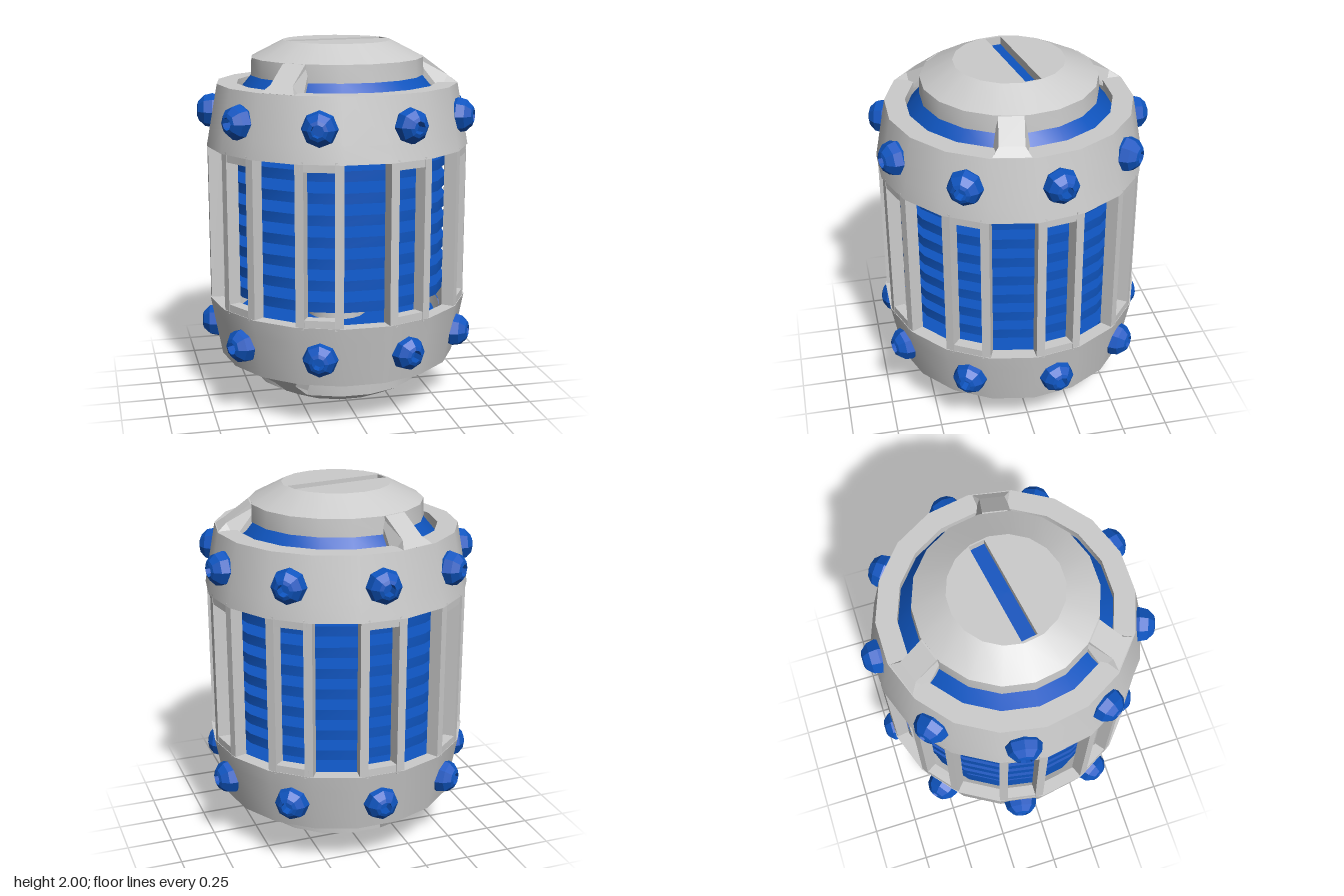
import * as THREE from 'three';
import { toCreasedNormals } from 'three/addons/utils/BufferGeometryUtils.js';

const SIDES = 18, MID = 1.0125, RAD = Math.PI / 180;
const grey = new THREE.MeshStandardMaterial({ color: 0xcccccc, side: THREE.DoubleSide });
const blue = new THREE.MeshStandardMaterial({ color: 0x0f55c0, side: THREE.DoubleSide });
const blueFlat = new THREE.MeshStandardMaterial({ color: 0x0f55c0, flatShading: true, side: THREE.DoubleSide });

function add(parent, name, geometry, material) {
  const mesh = new THREE.Mesh(geometry, material);
  mesh.name = name;
  parent.add(mesh);
  return mesh;
}

// Revolved profile of [radius, height] points, with hard edges kept
function turned(points, sides = SIDES) {
  const profile = points.map(([r, y]) => new THREE.Vector2(r, y));
  return toCreasedNormals(new THREE.LatheGeometry(profile, sides, Math.PI / sides, Math.PI * 2), 0.42);
}

// Sloping bridge from the lid to the shell, flared where it meets the shell
function bridgeGeometry() {
  const shape = new THREE.Shape([
    [0.42, 0.8], [0.42, 0.897], [0.47, 0.897], [0.6, 0.8], [0.645, 0.763], [0.56, 0.72],
  ].map(([x, y]) => new THREE.Vector2(x, y)));
  const geo = new THREE.ExtrudeGeometry(shape, { depth: 0.13, bevelEnabled: false });
  geo.translate(0, 0, -0.065);
  const p = geo.attributes.position;
  for (let i = 0; i < p.count; i++) if (p.getY(i) < 0.78) p.setZ(i, p.getZ(i) * 1.5);
  geo.computeVertexNormals();
  return geo;
}

// One end of the casing, pointing up, measured from mid height
function casingEnd(name, sign) {
  const end = new THREE.Group();
  end.name = name;
  add(end, 'shellBand', turned([
    [0.65, 0.4275], [0.722, 0.4275], [0.705, 0.52], [0.66, 0.7625], [0.55, 0.7625],
    [0.55, 0.71], [0.63, 0.66], [0.65, 0.4275],
  ]), grey);
  add(end, 'innerCone', turned([[0, 0.56], [0.57, 0.56], [0.57, 0.68], [0.46, 0.81], [0, 0.81]]), blue);
  add(end, 'lidWall', turned([[0, 0.803], [0.475, 0.803], [0.47, 0.8975], [0.44, 0.8975]]), grey);
  const geo = bridgeGeometry();
  for (let i = 0; i < 3; i++) {
    add(end, 'bridge', geo, grey).rotation.y = -sign * (10.5 + 120 * i) * RAD;
  }
  end.position.y = MID;
  if (sign < 0) end.rotation.x = Math.PI;
  return end;
}

export function createModel() {
  const model = new THREE.Group();
  model.name = 'ventedCanister';
  model.add(casingEnd('upperCasing', 1), casingEnd('lowerCasing', -1));

  // Domed top lid with a slot over a blue floor
  add(model, 'topDome', turned([[0.47, 1.91], [0.295, 2]]), grey);
  const cap = new THREE.Shape();
  for (let i = 0; i < SIDES; i++) {
    const a = (i + 0.5) * 20 * RAD;
    cap[i ? 'lineTo' : 'moveTo'](0.295 * Math.sin(a), 0.295 * Math.cos(a));
  }
  const c = Math.cos(10 * RAD), s = Math.sin(10 * RAD);
  cap.holes.push(new THREE.Path([[-0.28, -0.043], [-0.28, 0.043], [0.28, 0.043], [0.28, -0.043]]
    .map(([x, y]) => new THREE.Vector2(x * c - y * s, x * s + y * c + 0.018))));
  const capGeo = new THREE.ExtrudeGeometry(cap, { depth: 0.05, bevelEnabled: false });
  capGeo.rotateX(-Math.PI / 2);
  add(model, 'slottedCap', capGeo, grey).position.y = 1.95;
  add(model, 'slotFloor', new THREE.CylinderGeometry(0.29, 0.29, 0.02, SIDES), blue).position.y = 1.945;

  // Bottom rim, recessed plate and grip bar with sloping ends
  add(model, 'bottomRim', turned([[0.47, 0.115], [0.35, 0.05], [0.29, 0.05], [0.29, 0.11]]), grey);
  add(model, 'recessedPlate', new THREE.CylinderGeometry(0.29, 0.29, 0.02, SIDES), blue).position.y = 0.105;
  const barShape = new THREE.Shape([[-0.33, 0.05], [-0.26, 0], [0.26, 0], [0.33, 0.05], [0.28, 0.1], [-0.28, 0.1]]
    .map(([x, y]) => new THREE.Vector2(x, y)));
  const barGeo = new THREE.ExtrudeGeometry(barShape, { depth: 0.1, bevelEnabled: false });
  barGeo.translate(0, 0, -0.05);
  add(model, 'gripBar', barGeo, grey).rotation.y = 20 * RAD;

  // Core with its stack of blue discs
  add(model, 'coreColumn', new THREE.CylinderGeometry(0.165, 0.165, 1.2, SIDES), grey).position.y = MID;
  const disc = toCreasedNormals(new THREE.CylinderGeometry(0.61, 0.61, 0.056, SIDES), 0.42);
  disc.rotateY(10 * RAD);
  for (let i = -3; i <= 3; i++) add(model, 'coolingDisc', disc, blue).position.y = MID + i * 0.116;

  // Cage bars, narrow window frames and studs repeat nine times
  const bar = new THREE.BoxGeometry(0.046, 0.88, 0.07);
  const frame = new THREE.BoxGeometry(0.2, 0.045, 0.06);
  // Faceted stud with a socket, axis turned to face outward
  const stud = new THREE.LatheGeometry([
    [0.075, -0.055], [0.095, 0], [0.085, 0.045], [0.053, 0.078], [0.034, 0.085], [0.034, 0.03], [0, 0.03],
  ].map(([r, y]) => new THREE.Vector2(r, y)), 8);
  stud.rotateX(Math.PI / 2);

  for (let i = 0; i < 9; i++) {
    const sector = new THREE.Group();
    sector.name = 'cageSector';
    sector.rotation.y = (20 + 40 * i) * RAD;
    for (const side of [-1, 1]) {
      const a = side * 8.3 * RAD;
      const post = add(sector, 'cageBar', bar, grey);
      post.position.set(0.68 * Math.sin(a), MID, 0.68 * Math.cos(a));
      post.rotation.y = a;
      add(sector, 'windowFrame', frame, grey).position.set(0, MID + side * 0.41, 0.678);
      add(sector, 'stud', stud, blueFlat).position.set(0, MID + side * 0.603, 0.68);
    }
    model.add(sector);
  }
  return model;
}
